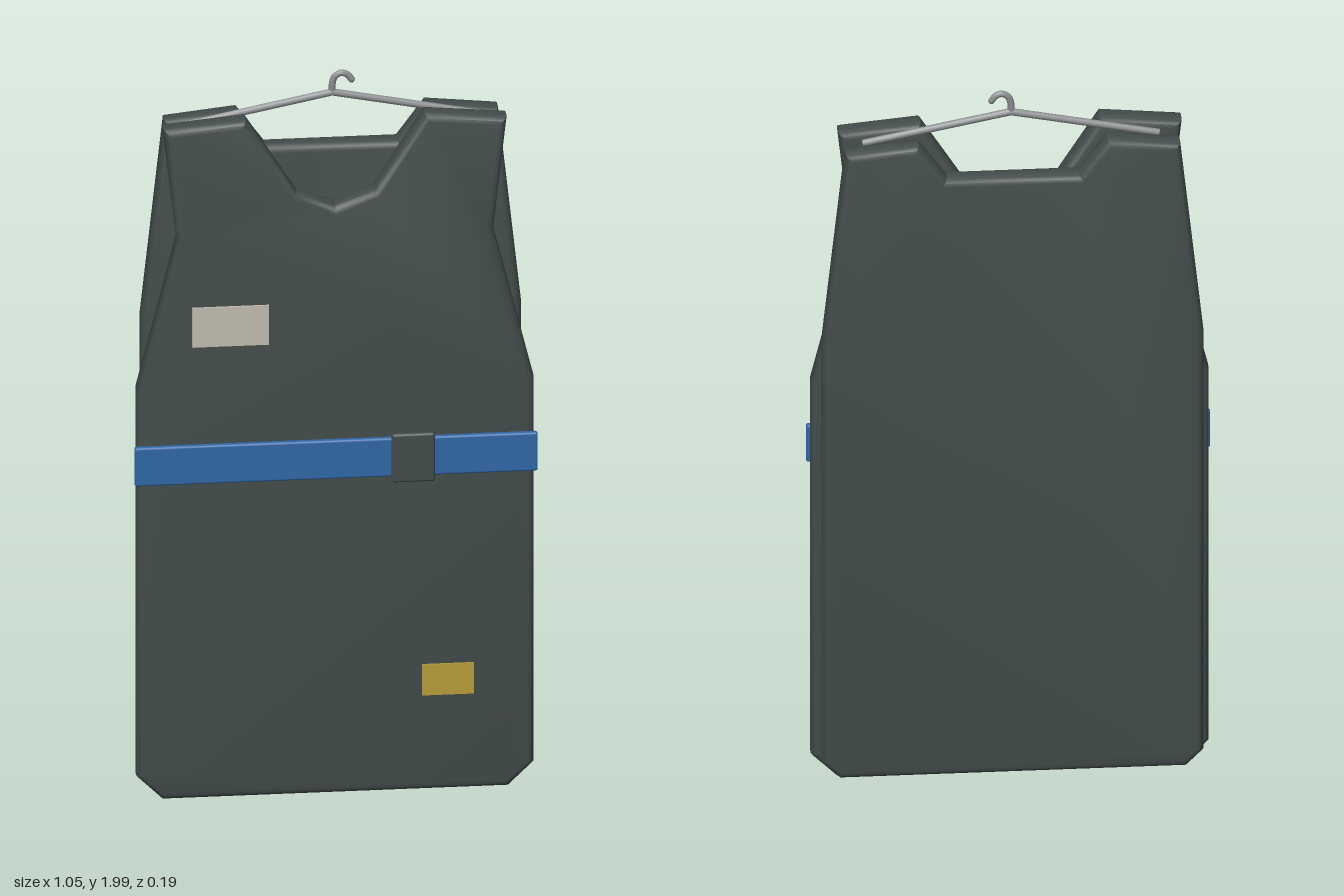
import * as THREE from 'three';
import { toCreasedNormals } from 'three/addons/utils/BufferGeometryUtils.js';
import { RoundedBoxGeometry } from 'three/addons/geometries/RoundedBoxGeometry.js';

const material = (name, color) => {
  const m = new THREE.MeshStandardMaterial({ color });
  m.name = name;
  return m;
};

export function createModel() {
  const fabric = material('dark grey green fabric', 0x434d4b);
  const strap = material('blue webbing', 0x2f67a8);
  const cloth = material('off white label', 0xc2bcb0);
  const yellow = material('yellow label', 0xb59d3a);
  const metal = material('hanger metal', 0x8b8e90);

  const vest = new THREE.Group();
  vest.name = 'vestOnHanger';
  const add = (name, geometry, mat, x = 0, y = 0, z = 0) => {
    const mesh = new THREE.Mesh(geometry, mat);
    mesh.name = name;
    mesh.position.set(x, y, z);
    vest.add(mesh);
    return mesh;
  };

  // Padded panel: half outline from bottom to neck, mirrored, with rounded edges
  const panel = (name, half, z, depth) => {
    const mirrored = half.filter(([x]) => x > 0).reverse().map(([x, y]) => [-x, y]);
    const shape = new THREE.Shape([...half, ...mirrored].map(([x, y]) => new THREE.Vector2(x, y)));
    const b = 0.02;
    const geometry = new THREE.ExtrudeGeometry(shape, {
      depth: depth - 2 * b, bevelThickness: b, bevelSize: b, bevelOffset: -b, bevelSegments: 3,
    });
    add(name, toCreasedNormals(geometry, 0.6), fabric, 0, 0, z + b);
  };

  panel('frontPanel', [
    [0.45, 0.005], [0.517, 0.07], [0.517, 1.15], [0.412, 1.57], [0.447, 1.88],
    [0.233, 1.9], [0.1, 1.69], [0, 1.65],
  ], 0.0, 0.07);

  panel('backPanel', [
    [0.45, 0.05], [0.495, 0.095], [0.495, 1.32], [0.435, 1.865],
    [0.245, 1.885], [0.172, 1.785],
  ], -0.099, 0.066);

  // Waist belt and buckle
  add('belt', new RoundedBoxGeometry(1.05, 0.108, 0.018, 2, 0.006), strap, 0, 0.948, 0.075);
  add('buckle', new RoundedBoxGeometry(0.112, 0.136, 0.016, 2, 0.007), fabric, 0.2, 0.948, 0.086);

  // Chest and hem labels
  add('chestLabel', new THREE.BoxGeometry(0.2, 0.11, 0.008), cloth, -0.274, 1.33, 0.072);
  add('hemLabel', new THREE.BoxGeometry(0.135, 0.086, 0.008), yellow, 0.292, 0.317, 0.072);

  // Wire hanger: two sloping arms and a hook
  const wireZ = -0.017;
  const up = new THREE.Vector3(0, 1, 0);
  for (const side of [-1, 1]) {
    const from = new THREE.Vector3(0, 1.938, wireZ);
    const to = new THREE.Vector3(side * 0.385, 1.862, wireZ);
    const dir = to.clone().sub(from);
    const arm = add(side > 0 ? 'leftHangerArm' : 'rightHangerArm',
      new THREE.CylinderGeometry(0.01, 0.01, dir.length(), 8), metal);
    arm.position.copy(from).add(to).multiplyScalar(0.5);
    arm.quaternion.setFromUnitVectors(up, dir.normalize());
  }
  const hookPoints = [[0, 1.932], [0, 1.962], [0.007, 1.982], [0.024, 1.991], [0.04, 1.985], [0.05, 1.972]];
  const hookPath = new THREE.CatmullRomCurve3(hookPoints.map(([x, y]) => new THREE.Vector3(x, y, wireZ)));
  add('hangerHook', new THREE.TubeGeometry(hookPath, 20, 0.009, 8), metal);
  add('hookTip', new THREE.SphereGeometry(0.009, 8, 6), metal, 0.05, 1.972, wireZ);

  return vest;
}
